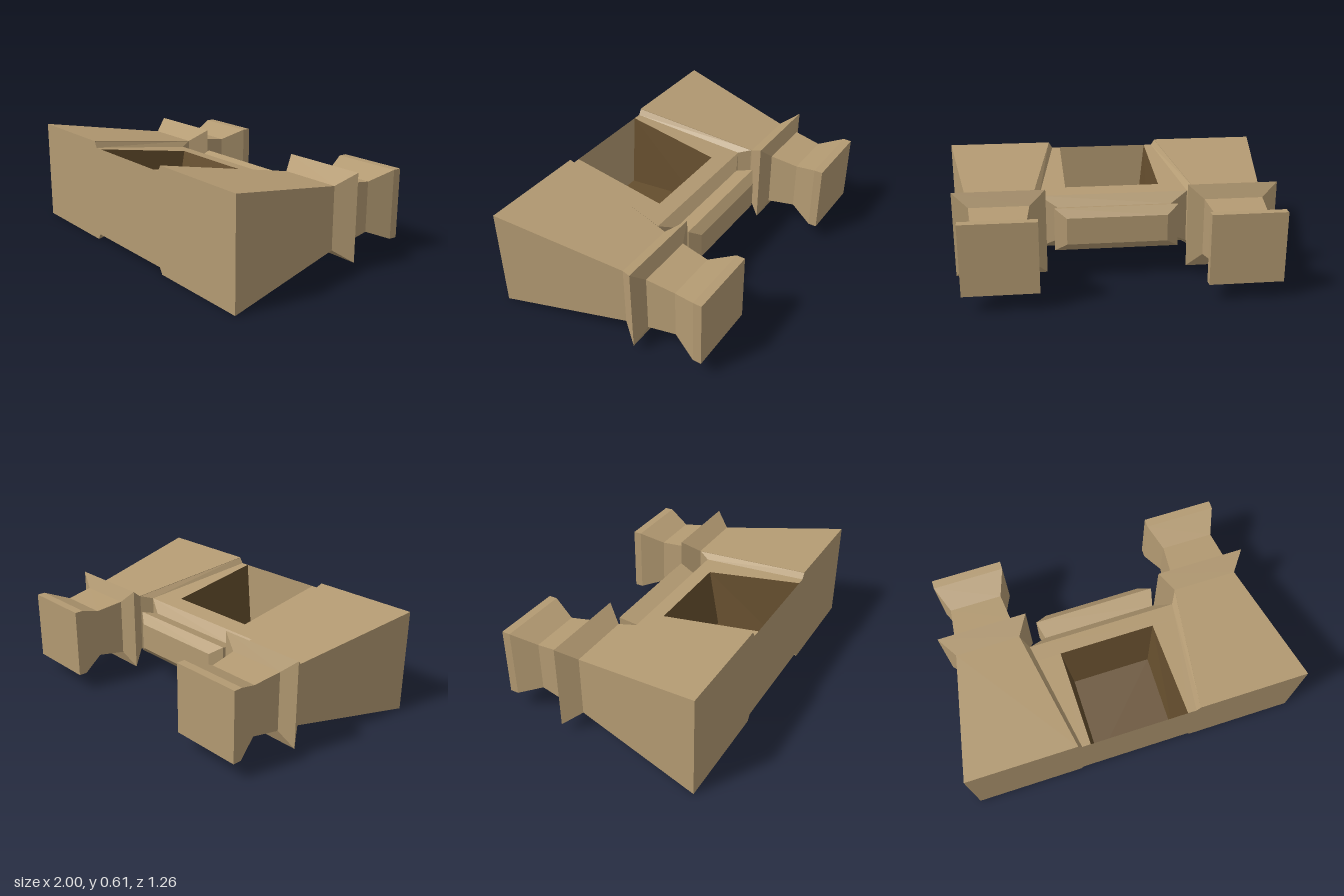
import * as THREE from 'three';

const MID = 0.3075; // height of the symmetry plane

// Flat-faced geometry from a list of four-cornered faces
function quads(faces) {
  const pos = [];
  for (const [a, b, c, d] of faces) pos.push(...a, ...b, ...c, ...a, ...c, ...d);
  const g = new THREE.BufferGeometry();
  g.setAttribute('position', new THREE.Float32BufferAttribute(pos, 3));
  g.computeVertexNormals();
  return g;
}

// Closed solid through rectangles [z, halfWidth, halfHeight], listed from +z to -z
function loft(sections) {
  const rings = sections.map(([z, w, h]) => [[w, h, z], [-w, h, z], [-w, -h, z], [w, -h, z]]);
  const faces = [rings[0], [...rings[rings.length - 1]].reverse()];
  for (let i = 0; i + 1 < rings.length; i++) {
    for (let k = 0; k < 4; k++) {
      const n = (k + 1) % 4;
      faces.push([rings[i][k], rings[i + 1][k], rings[i + 1][n], rings[i][n]]);
    }
  }
  return quads(faces);
}

export function createModel() {
  const stone = new THREE.MeshStandardMaterial({ color: 0xb39a72 });
  const stoneSheet = new THREE.MeshStandardMaterial({ color: 0xb39a72, side: THREE.DoubleSide });
  const recess = new THREE.MeshStandardMaterial({ color: 0x644d2d, side: THREE.DoubleSide });
  const group = new THREE.Group();
  const add = (name, geometry, material, x = 0) => {
    const m = new THREE.Mesh(geometry, material);
    m.name = name;
    m.position.set(x, MID, 0);
    group.add(m);
  };

  // Twin tapered towers with flared collar and crown
  const tower = loft([
    [0.63, 0.322, 0.306], [-0.135, 0.192, 0.182], [-0.235, 0.265, 0.254], [-0.268, 0.172, 0.172],
    [-0.435, 0.155, 0.148], [-0.58, 0.2125, 0.205], [-0.63, 0.2125, 0.205],
  ]);
  add('leftTower', tower, stone, 0.678);
  add('rightTower', tower, stone, -0.678);

  // Cornice crowning the gate wall
  add('gateCornice', loft([
    [-0.06, 0.445, 0.16], [-0.11, 0.34, 0.1], [-0.21, 0.365, 0.13], [-0.255, 0.295, 0.08],
  ]), stone);

  // Gate wall: base, plain face, and face pierced by the doorway
  const F = 0.63, B = -0.06, D = 0.04;
  const wy = (z) => 0.16 + (z - B) * 0.11 / (F - B);
  const wx = (z) => 0.445 - (z - B) * 0.11 / (F - B);
  const top = (x, z) => [x, wy(z), z];
  const low = (x, z) => [x, -wy(z), z];
  const wall = [
    [low(wx(F), F), low(-wx(F), F), low(-wx(B), B), low(wx(B), B)],
    [top(wx(F), F), top(-wx(F), F), low(-wx(F), F), low(wx(F), F)],
    [top(wx(D), D), top(wx(B), B), top(-wx(B), B), top(-wx(D), D)],
  ];
  for (const s of [-1, 1]) {
    wall.push([top(s * 0.285, F), top(s * wx(F), F), top(s * wx(D), D), top(s * 0.285, D)]);
    // Bevels joining the wall to the tower, with their two ends
    const front = [s * 0.358, 0.306, F], back = [s * 0.488, 0.182, -0.135];
    const flip = ([x, y, z]) => [x, -y, z];
    const a = top(s * wx(F), F), b = top(s * wx(B), B);
    wall.push([front, a, b, back], [flip(front), flip(a), flip(b), flip(back)]);
    wall.push([front, a, flip(a), flip(front)], [back, b, flip(b), flip(back)]);
  }
  // Wind every face away from the wall's centre
  for (const f of wall) {
    const [p, q, r] = f.map((v) => new THREE.Vector3(...v));
    const n = q.clone().sub(p).cross(r.clone().sub(p));
    const out = p.clone().add(r).multiplyScalar(0.5).sub(new THREE.Vector3(0, 0, 0.28));
    if (n.dot(out) < 0) f.reverse();
  }
  add('gateWall', quads(wall), stoneSheet);

  // Dark doorway recess: sloping jambs, lintel and door panel
  const rim = (s, z) => top(s * 0.285, z);
  const panel = (s, z) => [s * 0.24, z === F ? -0.2 : -0.15, z];
  add('doorway', quads([
    [panel(-1, F), panel(1, F), panel(1, 0.13), panel(-1, 0.13)],
    [rim(-1, D), panel(-1, 0.13), panel(1, 0.13), rim(1, D)],
    [rim(-1, F), panel(-1, F), panel(-1, 0.13), rim(-1, D)],
    [rim(1, D), panel(1, 0.13), panel(1, F), rim(1, F)],
  ]), recess);

  return group;
}
